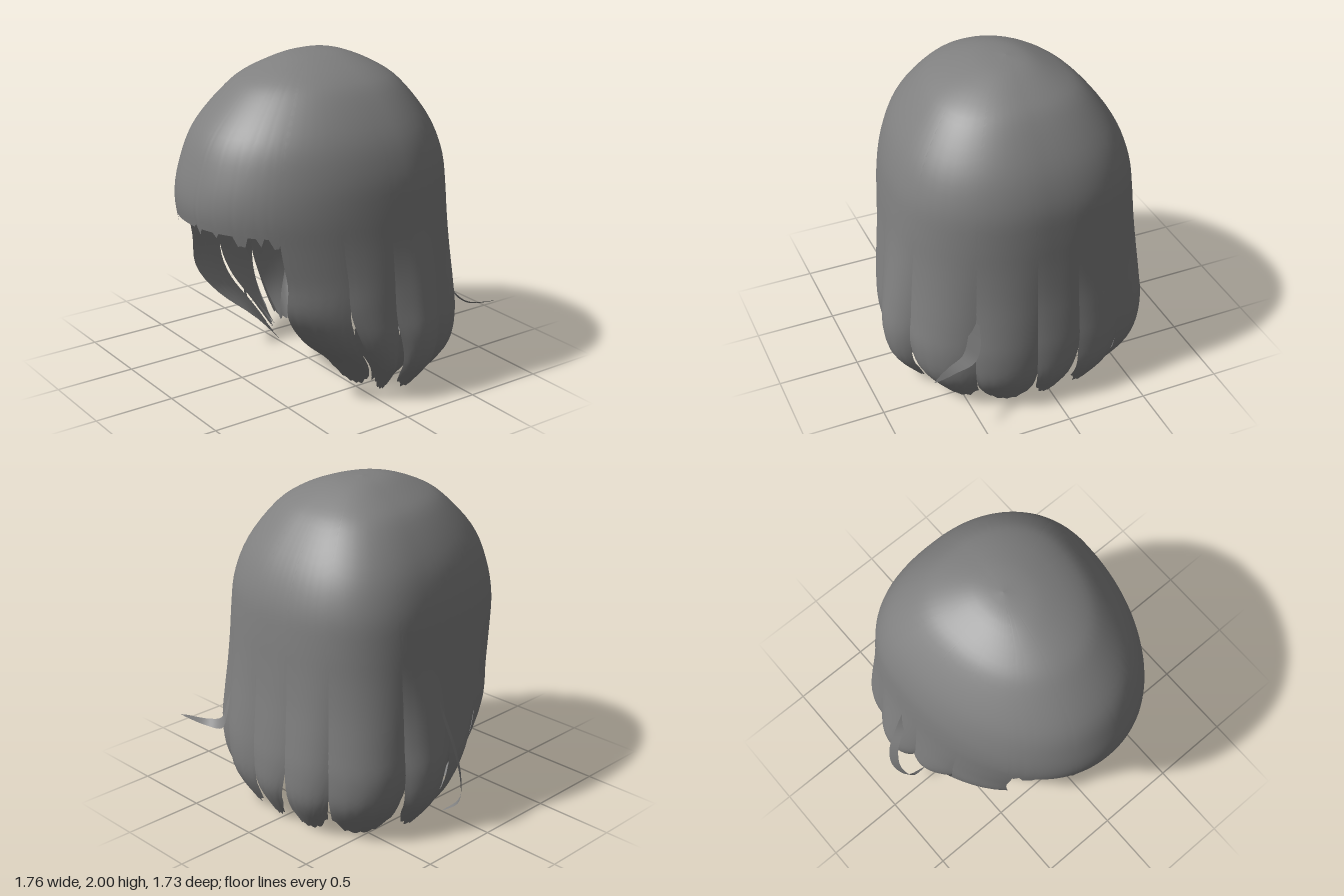
import * as THREE from 'three';

const hairGrey = new THREE.MeshStandardMaterial({ color: 0x808080, side: THREE.DoubleSide });
hairGrey.name = 'hairGrey';

// Horizontal rings from crown to tips: height, half width, front z, back z, centre z
const RINGS = [
  [2.0, 0, -0.05, -0.05, -0.05],
  [1.98, 0.16, 0.17, -0.22, -0.05],
  [1.9, 0.35, 0.4, -0.4, -0.07],
  [1.8, 0.48, 0.55, -0.53, -0.1],
  [1.6, 0.625, 0.74, -0.68, -0.13],
  [1.4, 0.7, 0.83, -0.76, -0.15],
  [1.2, 0.73, 0.87, -0.785, -0.15],
  [1.0, 0.745, 0.84, -0.795, -0.15],
  [0.8, 0.76, 0.79, -0.805, -0.15],
  [0.6, 0.775, 0.74, -0.82, -0.15],
  [0.4, 0.785, 0.52, -0.83, -0.15],
  [0.2, 0.74, 0.22, -0.81, -0.15],
  [0.0, 0.59, 0.02, -0.7, -0.15],
];
const LAST = RINGS.length - 1;
const splines = RINGS[0].map((_, c) => new THREE.SplineCurve(RINGS.map((r, i) => new THREE.Vector2(i, r[c]))));
const { smoothstep, lerp, degToRad } = THREE.MathUtils;

// Point on the hair volume: ring index r, angle in degrees from the front, scale.
// The outline is elliptical in front and squarer behind, more so on the right.
function hairPoint(r, deg, scale) {
  const [y, a, front, back, cz] = splines.map((s) => s.getPoint(Math.min(r / LAST, 1)).y);
  const s = Math.sin(degToRad(deg)), c = Math.cos(degToRad(deg));
  const p = c > 0 ? 2.06 : s > 0 ? 2.12 : 2.5;
  const k = scale * Math.pow(Math.abs(s) ** p + Math.abs(c) ** p, -1 / p);
  const depth = c > 0 ? front - cz : cz - back;
  const cx = 0.04 * Math.min(1, a / 0.3);
  return [cx + a * k * s, y > 1 ? 1 + (y - 1) * Math.min(scale, 1) : y, cz + depth * k * c];
}

// Grid surface from a rule point(u, v); u runs sideways, v runs down
function sheet(name, cols, rows, point) {
  const pos = [], index = [];
  for (let i = 0; i <= rows; i++) {
    for (let j = 0; j <= cols; j++) {
      pos.push(...point(j / cols, i / rows));
      if (i === rows || j === cols) continue;
      const a = i * (cols + 1) + j, b = a + cols + 1;
      index.push(a, b, a + 1, b, b + 1, a + 1);
    }
  }
  const geo = new THREE.BufferGeometry();
  geo.setAttribute('position', new THREE.Float32BufferAttribute(pos, 3));
  geo.setIndex(index);
  geo.computeVertexNormals();
  const mesh = new THREE.Mesh(geo, hairGrey);
  mesh.name = name;
  return mesh;
}

// Lock of hair from crown to tip, between two angles at the top and two at the tip
function lock(name, [t0, t1, b0, b1, split, bulge]) {
  return sheet(name, 14, 44, (u, v) => {
    const fray = 0.18 * (0.5 + 0.5 * Math.sin(u * 31 + t0));
    const end = LAST - fray - 0.6 * Math.pow(Math.abs(2 * u - 1), 2.5);
    const r = v * end;
    const k = smoothstep(r, split, LAST);
    const w = u * 1.06 - 0.03;
    const deg = lerp(lerp(t0, t1, w), lerp(b0, b1, w), k);
    const puff = bulge * smoothstep(r, 6, 10.5) * (1 - (2 * u - 1) ** 2);
    return hairPoint(r, deg, 1 + puff);
  });
}

// Thin loose strand: a tapering ribbon along a path
function strand(name, points, width, across) {
  const curve = new THREE.CatmullRomCurve3(points.map((p) => new THREE.Vector3(...p)));
  const side = new THREE.Vector3(...across).normalize();
  return sheet(name, 2, 28, (u, v) => {
    const p = curve.getPoint(v);
    const w = width * Math.pow(Math.max(0, Math.sin(Math.PI * (0.12 + 0.88 * v))), 0.7);
    return p.addScaledVector(side, (u - 0.5) * w).toArray();
  });
}

export function createModel() {
  const group = new THREE.Group();
  group.name = 'bobHair';

  // Fringe with a nearly straight, nicked lower edge
  const nicks = { 1: 0.3, 2: 0.28, 4: 0.3, 5: 0.3, 6: 0.25, 17: 0.28, 31: -0.1, 32: 0.2, 38: 0.15, 44: 0.3, 45: 0.28, 46: 0.3, 50: 0.25, 53: 0.3, 54: 0.28 };
  group.add(sheet('fringe', 56, 30, (u, v) => {
    const end = 6.58 + (nicks[Math.round(u * 56)] || 0);
    return hairPoint(v * end, lerp(-46, 46, u), 1);
  }));

  // Under layer: closes the crown and hangs to a ragged edge at the nape
  const jags = [0, 0.45, 0.2, -0.35, -0.1, 0.3, -0.2];
  group.add(sheet('underLayer', 96, 30, (u, v) => {
    const deg = u * 360;
    const off = Math.abs(deg - 180);
    const end = off > 130 ? 6.3 : Math.max(8.7, 10.2 - off / 32) + jags[Math.round(u * 96) % 7];
    return hairPoint(v * end, deg, 0.975);
  }));

  // Side locks, mirrored: top angles, tip angles, ring where they part, bulge
  const sideLocks = [
    [44, 66, 31, 57, 7.8, 0.01],
    [66, 84, 63, 80, 8.5, 0.03],
    [84, 112, 90, 109, 9, 0.08],
    [112, 146, 116, 143, 9.5, 0.05],
  ];
  for (const s of [1, -1]) {
    const label = s > 0 ? 'left' : 'right';
    sideLocks.forEach(([t0, t1, b0, b1, ...rest], i) => {
      const spec = s > 0 ? [t0, t1, b0, b1, ...rest] : [-t1, -t0, -b1, -b0, ...rest];
      group.add(lock(label + 'SideLock' + (i + 1), spec));
    });
    // Slim wisps tucked behind the side tips
    for (const deg of [74, 98, 122]) {
      group.add(sheet(label + 'InnerWisp', 4, 16, (u, v) => hairPoint(
        lerp(8.6, 11.7, v), s * (deg - 8 * v) + (u - 0.5) * 18 * Math.sin(Math.PI * v), 0.97 - 0.06 * v)));
    }
  }

  // Back locks
  [
    [146, 173, 146, 170, 10, 0.04],
    [173, 193, 174, 187, 9.5, 0.03],
    [193, 214, 194, 213, 9.5, 0.04],
  ].forEach((spec, i) => group.add(lock('backLock' + (i + 1), spec)));

  // Two loose strands
  group.add(strand('rightLooseStrand', [
    [-0.69, 1.05, -0.15], [-0.75, 0.8, -0.16], [-0.84, 0.57, -0.14], [-0.865, 0.35, -0.1],
    [-0.81, 0.16, -0.05], [-0.69, 0.05, -0.06],
  ], 0.06, [0.6, 0.2, 0.8]));
  group.add(strand('leftLooseStrand', [
    [0.48, 0.9, -0.66], [0.49, 0.7, -0.7], [0.5, 0.55, -0.73], [0.54, 0.45, -0.74],
    [0.65, 0.42, -0.76], [0.8, 0.46, -0.86],
  ], 0.09, [0.6, 0.45, 0.5]));

  return group;
}
